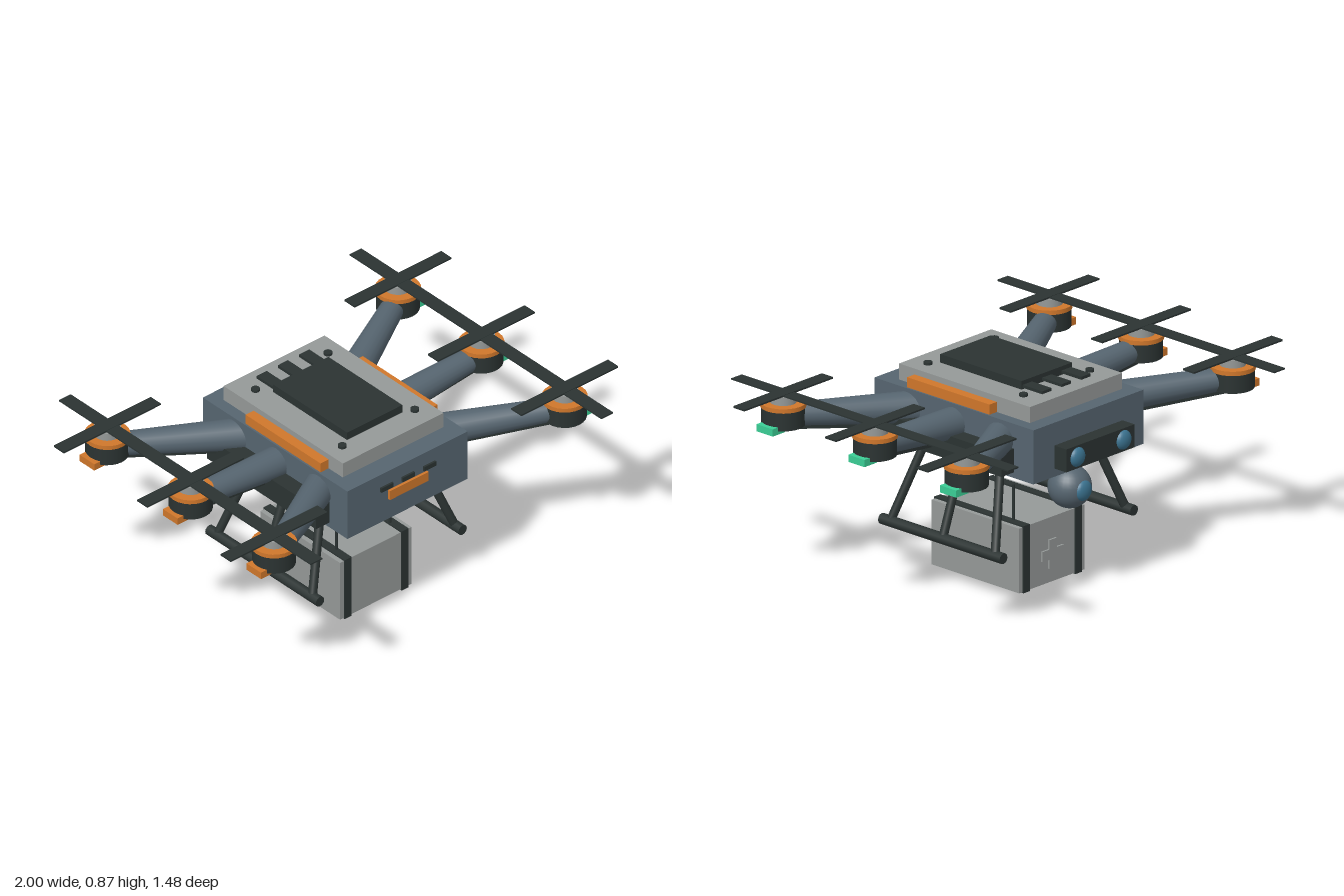
import * as THREE from 'three';

const mat = (name, color) => {
  const m = new THREE.MeshStandardMaterial({ color });
  m.name = name;
  return m;
};

export function createModel() {
  const slate = mat('slate shell', 0x566570);
  const grey = mat('light grey', 0x959998);
  const dark = mat('charcoal', 0x2b3332);
  const orange = mat('orange', 0xd0772b);
  const green = mat('green light', 0x3bcf96);
  const glass = mat('blue glass', 0x3b7390);

  const model = new THREE.Group();
  model.name = 'hexacopter';

  const add = (name, geo, material, x = 0, y = 0, z = 0, parent = model) => {
    const m = new THREE.Mesh(geo, material);
    m.name = name;
    m.position.set(x, y, z);
    parent.add(m);
    return m;
  };
  const box = (name, material, w, h, d, x, y, z, parent) =>
    add(name, new THREE.BoxGeometry(w, h, d), material, x, y, z, parent);
  const disc = (name, material, r, h, x, y, z, parent) =>
    add(name, new THREE.CylinderGeometry(r, r, h, 24), material, x, y, z, parent);
  // tapered round bar from a to b
  const bar = (name, material, a, b, ra, rb = ra, sides = 12, parent = model) => {
    const dir = b.clone().sub(a);
    const m = add(name, new THREE.CylinderGeometry(rb, ra, dir.length(), sides), material, 0, 0, 0, parent);
    m.position.copy(a).add(b).multiplyScalar(0.5);
    m.quaternion.setFromUnitVectors(new THREE.Vector3(0, 1, 0), dir.normalize());
    return m;
  };
  const V = (x, y, z) => new THREE.Vector3(x, y, z);

  // Fuselage and top deck
  box('body', slate, 0.62, 0.224, 0.85, 0, 0.652, -0.005);
  box('topDeck', grey, 0.52, 0.068, 0.7, 0, 0.796, -0.014);
  box('batteryPanel', dark, 0.285, 0.036, 0.435, 0, 0.847, 0.01);
  for (const x of [-0.11, 0, 0.11]) {
    box('deckFin', dark, 0.052, 0.012, 0.11, x, 0.842, -0.257);
    box('frontVent', dark, 0.062, 0.02, 0.012, x, 0.695, 0.423);
  }
  for (const x of [-0.187, 0.187])
    for (const z of [-0.26, 0.25]) disc('deckBolt', dark, 0.017, 0.012, x, 0.835, z);
  box('frontStripe', orange, 0.2, 0.042, 0.014, 0, 0.654, 0.424);
  box('bellyPlate', dark, 0.36, 0.006, 0.42, 0, 0.539, 0);

  // Rear sensor bar
  box('sensorBar', dark, 0.385, 0.095, 0.065, 0, 0.622, -0.462);
  for (const x of [-0.13, 0.13])
    add('sensorLens', new THREE.SphereGeometry(0.04, 24, 14), glass, x, 0.622, -0.492).scale.z = 0.6;

  // Camera ball
  disc('cameraStem', dark, 0.028, 0.07, 0, 0.52, -0.308);
  add('cameraBall', new THREE.SphereGeometry(0.087, 28, 18), slate, 0, 0.424, -0.33);
  add('cameraLens', new THREE.SphereGeometry(0.042, 24, 14), glass, 0, 0.424, -0.402).scale.z = 0.55;

  // One arm with motor, propeller and light; s is the side, k the row
  const arm = (s, k) => {
    const g = new THREE.Group();
    g.name = 'rotorArm';
    model.add(g);
    const mx = 0.75 * s, mz = 0.49 * k;
    const a = V(0.26 * s, 0.682, 0.222 * k), b = V(mx, 0.713, mz);
    bar('armTube', slate, a, b, 0.066, 0.045, 20, g);
    // rib under the tube
    const p = V(a.x, a.y - 0.064, a.z), q = V(b.x, b.y - 0.043, b.z);
    const rib = box('armRib', dark, 0.032, 0.026, p.distanceTo(q), 0, 0, 0, g);
    rib.position.copy(p).add(q).multiplyScalar(0.5);
    rib.lookAt(q);
    disc('motorCup', dark, 0.086, 0.078, mx, 0.713, mz, g);
    disc('motorRing', orange, 0.09, 0.018, mx, 0.758, mz, g);
    disc('motorHub', grey, 0.053, 0.034, mx, 0.783, mz, g);
    box('propellerBlade', dark, 0.5, 0.007, 0.06, mx, 0.804, mz, g);
    box('propellerBlade', dark, 0.06, 0.006, 0.5, mx, 0.803, mz, g);
    box('navigationLight', s > 0 ? green : orange, 0.07, 0.03, 0.086, 0.82 * s, 0.675, mz, g);
  };

  for (const s of [-1, 1]) {
    box('sideStripe', orange, 0.042, 0.042, 0.44, 0.281 * s, 0.785, 0.033);
    box('armMount', dark, 0.075, 0.098, 0.64, 0.342 * s, 0.612, -0.005);
    for (const k of [-1, 0, 1]) arm(s, k);

    // Landing gear
    bar('skid', dark, V(0.368 * s, 0.221, -0.325), V(0.368 * s, 0.221, 0.325), 0.022);
    for (const k of [-1, 0, 1])
      bar('landingLeg', dark, V(0.248 * s, 0.56, 0.195 * k), V(0.368 * s, 0.221, 0.28 * k), 0.018);

    // Cargo straps and hanging rods
    box('cargoStrap', dark, 0.036, 0.278, 0.478, 0.147 * s, 0.139, 0);
    for (const z of [-0.16, 0.16])
      bar('cargoRod', dark, V(0.138 * s, 0.27, z), V(0.138 * s, 0.425, z), 0.006, 0.006, 8);
  }

  // Cargo box with raised cross on the rear
  box('cargoBox', grey, 0.37, 0.268, 0.468, 0, 0.138, 0);
  box('crossUpright', grey, 0.042, 0.12, 0.012, 0, 0.122, -0.236);
  for (const s of [-1, 1]) box('crossArm', grey, 0.039, 0.042, 0.012, 0.0405 * s, 0.122, -0.236);

  return model;
}
